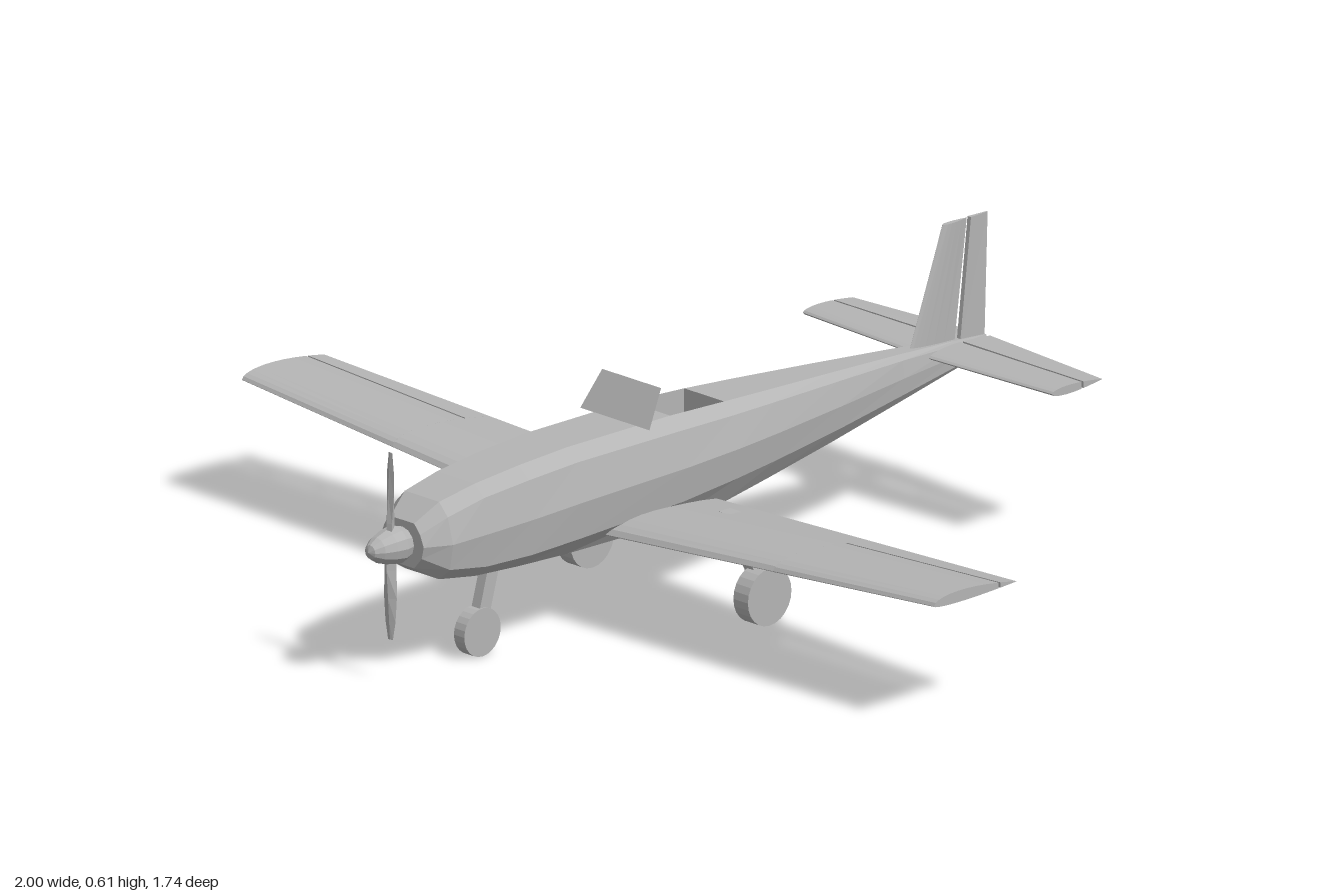
import * as THREE from 'three';

const paint = new THREE.MeshStandardMaterial({ color: 0xb4b4b4, flatShading: true });
paint.name = 'plain grey';
const sheet = new THREE.MeshStandardMaterial({ color: 0xb4b4b4, flatShading: true, side: THREE.DoubleSide });
sheet.name = 'plain grey sheet';
const lerp = THREE.MathUtils.lerp;

// Skin a row of closed rings, cap both ends and turn the faces outward.
function loft(rings, skip = () => false) {
  const n = rings[0].length, pts = rings.flat(), tris = [];
  for (let i = 0; i < rings.length - 1; i++) {
    for (let j = 0; j < n; j++) {
      if (skip(i, j)) continue;
      const a = i * n + j, b = i * n + (j + 1) % n;
      tris.push([a, a + n, b + n], [a, b + n, b]);
    }
  }
  const last = (rings.length - 1) * n;
  for (let j = 1; j < n - 1; j++) tris.push([0, j, j + 1], [last, last + j + 1, last + j]);
  let volume = 0;
  const cross = new THREE.Vector3();
  for (const [a, b, c] of tris) volume += pts[a].dot(cross.crossVectors(pts[b], pts[c]));
  const order = tris.flatMap(([a, b, c]) => (volume < 0 ? [a, c, b] : [a, b, c]));
  const g = new THREE.BufferGeometry().setFromPoints(order.map((k) => pts[k]));
  g.computeVertexNormals();
  return g;
}

// Part of an aerofoil outline between chord fractions u0 and u1: [fraction, height].
function foil(u0, u1, upper, lower, steps = 9) {
  const top = [], bottom = [];
  const h = (u) => 2.6 * Math.sqrt(u) * (1 - u) * (1 - 0.05 * u) + 0.03;
  for (let i = 0; i <= steps; i++) {
    const u = lerp(u0, u1, u0 === 0 ? (i / steps) ** 1.7 : i / steps);
    top.push([u, upper * h(u)]);
    bottom.unshift([u, -lower * h(u)]);
  }
  return [...top, ...bottom];
}

export function createModel() {
  const model = new THREE.Group();
  const add = (name, geometry, material = paint) => {
    const mesh = new THREE.Mesh(geometry, material);
    mesh.name = name;
    model.add(mesh);
    return mesh;
  };

  // Fuselage stations: z, top y, shoulder y, low chine y, bottom y, half width
  const stations = [
    [0.77, 0.335, 0.315, 0.265, 0.24, 0.062],
    [0.715, 0.372, 0.345, 0.235, 0.208, 0.09],
    [0.62, 0.39, 0.366, 0.222, 0.194, 0.099],
    [0.5, 0.402, 0.377, 0.22, 0.188, 0.106],
    [0.37, 0.41, 0.385, 0.225, 0.184, 0.111],
    [0.08, 0.41, 0.385, 0.237, 0.181, 0.112],
    [-0.075, 0.403, 0.381, 0.248, 0.19, 0.105],
    [-0.2, 0.396, 0.377, 0.256, 0.208, 0.092],
    [-0.4, 0.384, 0.369, 0.27, 0.237, 0.065],
    [-0.6, 0.371, 0.36, 0.288, 0.269, 0.037],
    [-0.77, 0.358, 0.35, 0.306, 0.298, 0.016],
    [-0.86, 0.35, 0.344, 0.322, 0.315, 0.008],
  ];
  const bodyRing = ([z, top, shoulder, low, bottom, w]) => {
    const half = [[0.55, bottom], [0.9, low], [1, lerp(low, shoulder, 0.5)], [0.83, shoulder], [0.55, top]];
    return [...half, ...half.map(([x, y]) => [-x, y]).reverse()].map(([x, y]) => new THREE.Vector3(x * w, y, z));
  };
  const pitStation = 5;
  add('fuselage', loft(stations.map(bodyRing), (i, j) => i === pitStation && j === 4));

  // Open cockpit well
  const rim = [stations[pitStation], stations[pitStation + 1]].flatMap((s) => {
    const r = bodyRing(s);
    return [r[4], r[5]];
  });
  const corners = [rim[0], rim[1], rim[3], rim[2]];
  const floor = corners.map((p) => new THREE.Vector3(p.x, 0.3, p.z));
  const faces = [[floor[0], floor[2], floor[1]], [floor[0], floor[3], floor[2]]];
  corners.forEach((p, i) => {
    const k = (i + 1) % 4;
    faces.push([p, corners[k], floor[k]], [p, floor[k], floor[i]]);
  });
  const well = new THREE.BufferGeometry().setFromPoints(faces.flat());
  well.computeVertexNormals();
  add('cockpitWell', well, sheet);

  // Raked windscreen
  const screen = new THREE.PlaneGeometry(1, 1);
  const sp = screen.attributes.position;
  for (let i = 0; i < 4; i++) {
    const up = sp.getY(i) > 0, side = Math.sign(sp.getX(i));
    sp.setXYZ(i, side * (up ? 0.085 : 0.1), up ? 0.485 : 0.41, up ? 0.128 : 0.175);
  }
  screen.computeVertexNormals();
  add('windscreen', screen, sheet);

  // Wing section at span x, cut between two chord fractions
  const wingRing = (side, x, u0, u1) => {
    const t = x, front = lerp(0.283, 0.25, t), back = lerp(-0.045, 0.02, t);
    const y = lerp(0.203, 0.27, t), thick = lerp(0.038, 0.024, t);
    return foil(u0, u1, thick * 0.75, thick * 0.25)
      .map(([u, h]) => new THREE.Vector3(side * x, y + h, lerp(front, back, u)));
  };
  // Tail section at span x, cut at the hinge line
  const tailRing = (side, x, rear) => {
    const t = x / 0.36, hinge = -0.785;
    const front = lerp(-0.68, -0.7, t), back = lerp(-0.87, -0.84, t);
    const uh = (hinge - front) / (back - front);
    return foil(rear ? uh + 0.02 : 0, rear ? 1 : uh - 0.02, 0.009, 0.009, 6)
      .map(([u, h]) => new THREE.Vector3(side * x, 0.345 + h, lerp(front, back, u)));
  };

  for (const side of [1, -1]) {
    const label = side > 0 ? 'left' : 'right';
    add(label + 'InnerWing', loft([wingRing(side, 0, 0, 1), wingRing(side, 0.55, 0, 1)]));
    add(label + 'OuterWing', loft([wingRing(side, 0.55, 0, 0.73), wingRing(side, 1, 0, 0.78)]));
    add(label + 'Aileron', loft([wingRing(side, 0.55, 0.75, 1), wingRing(side, 1, 0.805, 1)]));
    add(label + 'Tailplane', loft([tailRing(side, 0, false), tailRing(side, 0.36, false)]));
    add(label + 'Elevator', loft([tailRing(side, 0.006, true), tailRing(side, 0.36, true)]));
  }

  // Upright fin and rudder, with a sloping hinge gap
  const finRing = (y, front, back) => foil(0, 1, 0.006, 0.006, 6)
    .map(([u, h]) => new THREE.Vector3(h, y, lerp(front, back, u)));
  const rudderRing = (y, front, back) => [[-0.005, front], [0.005, front], [0.0015, back], [-0.0015, back]]
    .map(([x, z]) => new THREE.Vector3(x, y, z));
  add('fin', loft([finRing(0.35, -0.645, -0.775), finRing(0.608, -0.742, -0.81)]));
  add('rudder', loft([rudderRing(0.335, -0.785, -0.858), rudderRing(0.608, -0.817, -0.867)]));

  // Wheels and slanted legs
  const wheel = (name, x, y, z, radius, width) => {
    const g = new THREE.CylinderGeometry(radius, radius, width, 24).rotateZ(Math.PI / 2);
    add(name, g).position.set(x, y, z);
  };
  const leg = (name, from, to, w, d) => {
    const ring = ([x, y, z]) => [[1, 1], [1, -1], [-1, -1], [-1, 1]]
      .map(([a, b]) => new THREE.Vector3(x + a * w / 2, y, z + b * d / 2));
    add(name, loft([ring(from), ring(to)]));
  };
  wheel('noseWheel', 0, 0.051, 0.56, 0.051, 0.03);
  leg('noseLeg', [0, 0.07, 0.557], [0, 0.22, 0.515], 0.024, 0.032);
  for (const side of [1, -1]) {
    const label = side > 0 ? 'left' : 'right';
    wheel(label + 'MainWheel', side * 0.256, 0.061, 0.01, 0.061, 0.042);
    leg(label + 'MainLeg', [side * 0.25, 0.08, 0.005], [side * 0.205, 0.235, 0.052], 0.03, 0.032);
  }

  // Spinner and two-bladed propeller
  const profile = [[0, 0.77], [0.034, 0.77], [0.04, 0.79], [0.036, 0.815], [0.027, 0.842], [0.015, 0.86], [0, 0.866]];
  const spinner = new THREE.LatheGeometry(profile.map(([r, z]) => new THREE.Vector2(r, z)), 12);
  add('spinner', spinner.rotateX(Math.PI / 2)).position.y = 0.287;
  const blade = (dir) => loft([[0, 0.01, 0.011], [0.05, 0.011, 0.011], [0.11, 0.014, 0.007], [0.16, 0.012, 0.004], [0.198, 0.006, 0.0015]]
    .map(([r, w, d]) => [[1, 0.6], [0, 1], [-1, -0.6], [0, -1]]
      .map(([a, b]) => new THREE.Vector3(dir * a * w, 0.287 + dir * r, 0.803 + b * d))));
  add('upperBlade', blade(1));
  add('lowerBlade', blade(-1));

  return model;
}
